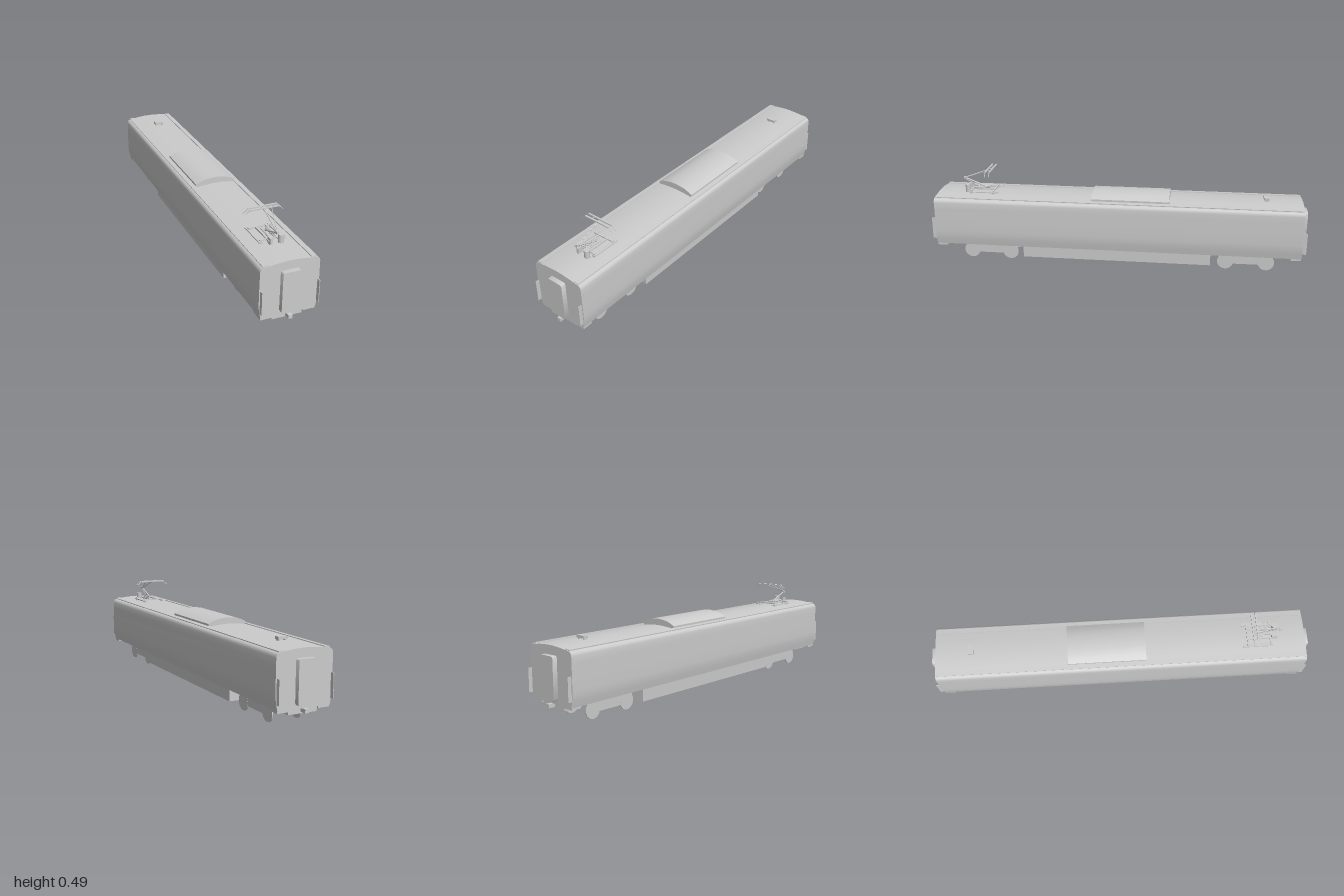
import * as THREE from 'three';
import { toCreasedNormals } from 'three/addons/utils/BufferGeometryUtils.js';

const material = new THREE.MeshStandardMaterial({ color: 0xcccccc, side: THREE.DoubleSide });

function add(parent, name, geometry, x = 0, y = 0, z = 0) {
  const mesh = new THREE.Mesh(geometry, material);
  mesh.name = name;
  mesh.position.set(x, y, z);
  parent.add(mesh);
  return mesh;
}

// Box given by its limits on each axis
function box(parent, name, x0, x1, y0, y1, z0, z1) {
  return add(parent, name, new THREE.BoxGeometry(x1 - x0, y1 - y0, z1 - z0),
    (x0 + x1) / 2, (y0 + y1) / 2, (z0 + z1) / 2);
}

// Cross-section in x, y pulled from z0 to z1
function extrude(parent, name, shape, z0, z1) {
  const geometry = new THREE.ExtrudeGeometry(shape, { depth: z1 - z0, bevelEnabled: false, curveSegments: 10 });
  return add(parent, name, toCreasedNormals(geometry, 0.6), 0, 0, z0);
}

// Thin round bar between two points
function rod(parent, name, a, b, radius) {
  const from = new THREE.Vector3(...a), to = new THREE.Vector3(...b);
  const dir = to.clone().sub(from);
  const mesh = add(parent, name, new THREE.CylinderGeometry(radius, radius, dir.length(), 8));
  mesh.position.copy(from).add(to).multiplyScalar(0.5);
  mesh.quaternion.setFromUnitVectors(new THREE.Vector3(0, 1, 0), dir.normalize());
  return mesh;
}

// Symmetric outline from a list of right-hand points, bottom to top
function mirrored(points) {
  const left = points.filter(p => p[0] > 0).map(([x, y]) => [-x, y]).reverse();
  return new THREE.Shape([...points, ...left].map(p => new THREE.Vector2(...p)));
}

function roundedRect(x0, x1, y0, y1, r) {
  const s = new THREE.Shape();
  s.absarc(x1 - r, y0 + r, r, -Math.PI / 2, 0);
  s.absarc(x1 - r, y1 - r, r, 0, Math.PI / 2);
  s.absarc(x0 + r, y1 - r, r, Math.PI / 2, Math.PI);
  s.absarc(x0 + r, y0 + r, r, Math.PI, Math.PI * 1.5);
  return s;
}

function buildBody(model) {
  const section = mirrored([
    [0.136, 0.1], [0.142, 0.13], [0.146, 0.156], [0.147, 0.18], [0.147, 0.24], [0.146, 0.3],
    [0.146, 0.335], [0.144, 0.345], [0.139, 0.352], [0.13, 0.357],
    [0.1, 0.361], [0.07, 0.365], [0.035, 0.368], [0, 0.369],
  ]);
  extrude(model, 'carBody', section, -0.975, 0.975);
  // Rain gutters along both roof edges
  for (const s of [-1, 1]) {
    const gutter = box(model, 'roofGutter', 0.102 * s - 0.001, 0.102 * s + 0.001, 0.36, 0.364, -0.972, 0.972);
    gutter.scale.x = 14;
    gutter.position.x = 0.117 * s;
    gutter.rotation.z = -0.12 * s;
  }
}

function buildRoofUnits(model) {
  extrude(model, 'airConditioner', mirrored([
    [0.107, 0.355], [0.107, 0.375], [0.085, 0.386], [0.06, 0.395], [0.03, 0.4], [0, 0.402],
  ]), -0.28, 0.13);
  box(model, 'roofVent', -0.025, 0.025, 0.375, 0.388, -0.8, -0.772);
  for (const s of [-1, 1]) box(model, 'roofVentFoot', s * 0.018 - 0.004, s * 0.018 + 0.004, 0.36, 0.377, -0.795, -0.777);
}

// Everything repeated at both ends; modelled at +z
function buildEnd(model, facing) {
  const end = new THREE.Group();
  end.name = facing > 0 ? 'frontEnd' : 'rearEnd';
  end.rotation.y = facing > 0 ? 0 : Math.PI;
  model.add(end);

  extrude(end, 'gangway', roundedRect(-0.046, 0.046, 0.117, 0.325, 0.012), 0.97, 1);
  box(end, 'coupler', -0.01, 0.01, 0.083, 0.101, 0.95, 1);
  box(end, 'endUnderframe', -0.075, 0.075, 0.075, 0.1, 0.86, 0.965);
  for (const s of [-1, 1]) {
    box(end, 'cornerPlate', s * 0.14 - 0.0015, s * 0.14 + 0.0015, 0.13, 0.246, 0.965, 0.995);
    box(end, 'endStep', s * 0.106 - 0.03, s * 0.106 + 0.03, 0.09, 0.101, 0.92, 0.972);
  }

  // Bogie: thin side plates with a wheel disc at each axle
  const bogie = new THREE.Group();
  bogie.name = 'bogie';
  end.add(bogie);
  for (const s of [-1, 1]) {
    const x = s * 0.076;
    box(bogie, 'bogieSideFrame', x - 0.002, x + 0.002, 0.032, 0.1, 0.585, 0.8);
    box(bogie, 'bogieFrameEnd', x - 0.002, x + 0.002, 0.05, 0.1, 0.55, 0.835);
    box(bogie, 'bolsterEnd', x - 0.004, x + 0.004, 0.091, 0.101, 0.66, 0.72);
    for (const z of [0.585, 0.8]) {
      const wheel = add(bogie, 'wheel', new THREE.CylinderGeometry(0.043, 0.043, 0.005, 28), x, 0.045, z);
      wheel.rotation.z = Math.PI / 2;
    }
  }
}

function buildPantograph(model) {
  const p = new THREE.Group();
  p.name = 'pantograph';
  model.add(p);

  // Roof boards, insulators and base frame
  for (const s of [-1, 1]) {
    box(p, 'roofBoard', s * 0.058 - 0.01, s * 0.058 + 0.01, 0.373, 0.378, 0.645, 0.8);
    for (const z of [0.67, 0.79]) {
      add(p, 'insulator', new THREE.CylinderGeometry(0.006, 0.008, 0.022, 10), s * 0.055, 0.374, z);
    }
    box(p, 'baseRail', s * 0.025 - 0.003, s * 0.025 + 0.003, 0.379, 0.386, 0.67, 0.815);
    rod(p, 'springTube', [s * 0.012, 0.388, 0.7], [s * 0.012, 0.388, 0.79], 0.004);
  }
  for (const z of [0.67, 0.79]) box(p, 'baseCrossbar', -0.062, 0.062, 0.379, 0.385, z - 0.004, z + 0.004);
  add(p, 'surgeArrester', new THREE.CylinderGeometry(0.014, 0.014, 0.045, 16), 0.033, 0.3865, 0.815);
  box(p, 'driveBox', -0.025, -0.013, 0.366, 0.4, 0.795, 0.825);

  // Folding arm
  rod(p, 'lowerArm', [0, 0.388, 0.72], [0, 0.435, 0.84], 0.004);
  rod(p, 'lowerLink', [0.006, 0.386, 0.75], [0.004, 0.428, 0.835], 0.002);
  box(p, 'elbow', -0.005, 0.005, 0.429, 0.442, 0.832, 0.845);
  rod(p, 'upperArm', [0, 0.436, 0.84], [0, 0.49, 0.693], 0.003);
  rod(p, 'upperBrace', [0.002, 0.437, 0.835], [0.037, 0.487, 0.705], 0.0018);

  // Collector head with drooping horns
  for (const z of [0.682, 0.704]) {
    box(p, 'contactStrip', -0.075, 0.075, 0.489, 0.495, z - 0.004, z + 0.004);
    for (const s of [-1, 1]) rod(p, 'horn', [s * 0.073, 0.492, z], [s * 0.097, 0.47, z], 0.002);
  }
  for (const s of [-1, 1]) rod(p, 'headLink', [s * 0.037, 0.49, 0.682], [s * 0.037, 0.49, 0.704], 0.002);
}

export function createModel() {
  const model = new THREE.Group();
  model.name = 'railcar';
  buildBody(model);
  buildRoofUnits(model);
  box(model, 'underfloorEquipment', -0.11, 0.11, 0.03, 0.101, -0.505, 0.505);
  for (const facing of [1, -1]) buildEnd(model, facing);
  buildPantograph(model);
  return model;
}
